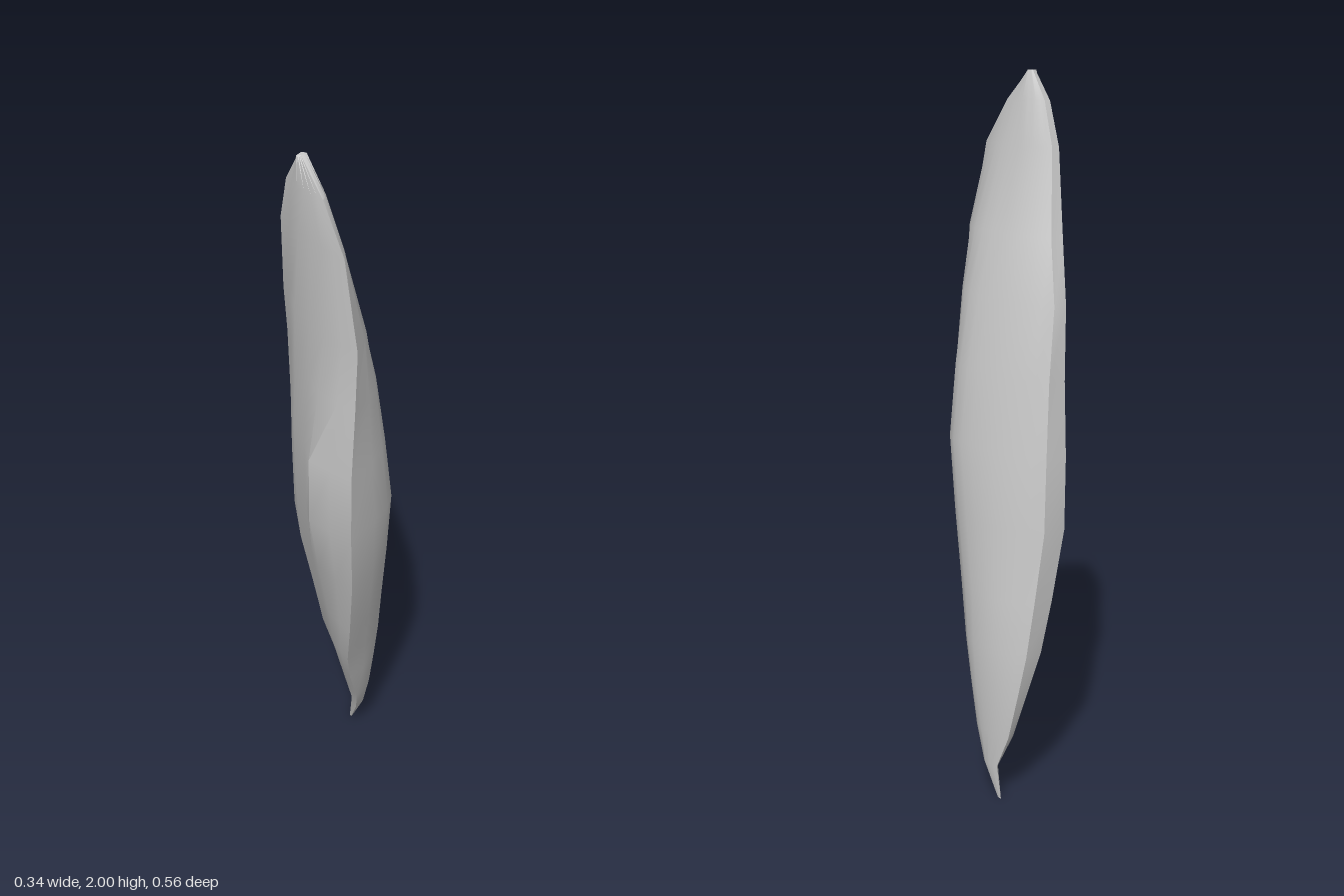
import * as THREE from 'three';
import { toCreasedNormals } from 'three/addons/utils/BufferGeometryUtils.js';

// Cross-sections by height:
// y, front edge x z, bulge of smooth face x z, back edge x z, ridge of rough face x z
const SECTIONS = [
  [0.00, 0.135, -0.15, 0.142, -0.155, 0.14, -0.162, 0.137, -0.16],
  [0.10, 0.11, -0.08, 0.155, -0.12, 0.143, -0.155, 0.125, -0.13],
  [0.20, 0.075, -0.02, 0.162, -0.12, 0.125, -0.20, 0.10, -0.14],
  [0.33, 0.02, 0.03, 0.167, -0.11, 0.10, -0.23, 0.06, -0.13],
  [0.45, -0.02, 0.08, 0.17, -0.11, 0.07, -0.252, 0.02, -0.13],
  [0.60, -0.05, 0.14, 0.16, -0.10, 0.04, -0.262, -0.02, -0.11],
  [0.80, -0.08, 0.20, 0.145, -0.06, 0.01, -0.276, -0.07, -0.10],
  [1.00, -0.115, 0.25, 0.13, -0.02, 0, -0.268, -0.10, -0.07],
  [1.20, -0.125, 0.267, 0.09, 0, -0.015, -0.243, -0.115, -0.05],
  [1.40, -0.12, 0.275, 0.05, 0, -0.03, -0.228, -0.12, -0.03],
  [1.57, -0.12, 0.285, 0, 0, -0.08, -0.155, -0.135, 0],
  [1.80, -0.125, 0.23, -0.07, 0.02, -0.12, -0.09, -0.138, 0.03],
  [1.92, -0.13, 0.14, -0.09, 0.03, -0.13, -0.04, -0.14, 0.03],
  [2.00, -0.13, 0.035, -0.11, 0.03, -0.125, 0.02, -0.14, 0.03],
];
const ARC = 6; // points on each half of the smooth face
const mix = THREE.MathUtils.lerp;

// One closed ring of points, counterclockwise from above
function ring([y, fx, fz, vx, vz, bx, bz, dx, dz]) {
  const points = [];
  const add = (x, z) => points.push([x, y, z]);

  // Smooth face: front edge to bulge, then bulge to the corner of the blunt back
  const cornerX = mix(bx, vx, 0.55);
  const cornerZ = bz - 0.004;
  for (let i = 0; i < ARC; i++) {
    const t = i / ARC;
    add(mix(fx, vx, 1 - (1 - t) ** 3), mix(fz, vz, t));
  }
  for (let i = 0; i < ARC; i++) {
    const t = i / ARC;
    add(mix(vx, cornerX, t * t), mix(vz, cornerZ, t));
  }

  // Blunt back edge, steep facet and main ridge
  add(cornerX, cornerZ);
  add(bx, bz);
  add(mix(bx, dx, 0.5), mix(bz, dz, 0.5));
  add(dx, dz);

  // Swollen facet between the main ridge and the front edge
  const swell = Math.sin((Math.PI * y) / 2) * (0.015 + 0.04 * Math.exp(-(((y - 1.1) / 0.35) ** 2)));
  for (const [t, amount] of [[0.28, 0.3], [0.55, 1], [0.8, 0.6]]) {
    add(mix(dx, fx, t) - swell * amount, mix(dz, fz, t));
  }
  return points;
}

function stoneGeometry() {
  const rings = SECTIONS.map(ring);
  const n = rings[0].length;
  const index = [];
  for (let r = 0; r < rings.length - 1; r++) {
    for (let i = 0; i < n; i++) {
      const a = r * n + i;
      const b = r * n + ((i + 1) % n);
      index.push(a, b, b + n, a, b + n, a + n);
    }
  }
  // Close both tips
  const top = (rings.length - 1) * n;
  for (let i = 1; i < n - 1; i++) {
    index.push(0, i + 1, i, top, top + i, top + i + 1);
  }
  const geometry = new THREE.BufferGeometry();
  geometry.setAttribute('position', new THREE.Float32BufferAttribute(rings.flat(2), 3));
  geometry.setIndex(index);
  return toCreasedNormals(geometry, 0.6);
}

export function createModel() {
  const group = new THREE.Group();
  group.name = 'stoneFlake';
  const blade = new THREE.Mesh(
    stoneGeometry(),
    new THREE.MeshStandardMaterial({ color: 0xcccccc })
  );
  blade.name = 'flakeBlade';
  group.add(blade);
  return group;
}
